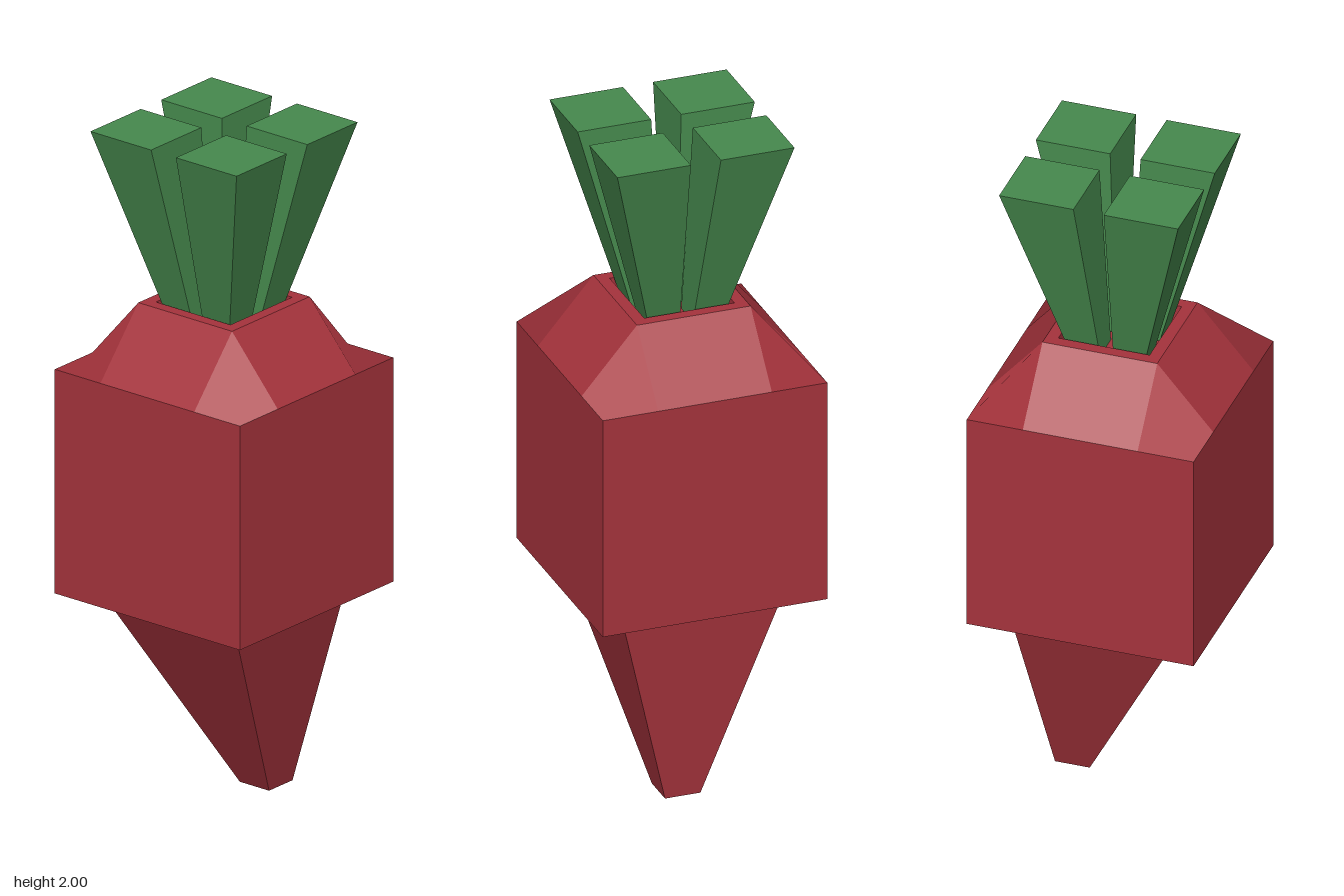
import * as THREE from 'three';

const red = new THREE.MeshStandardMaterial({ color: 0xa5333c });
red.name = 'rootRed';
const green = new THREE.MeshStandardMaterial({ color: 0x46894d });
green.name = 'leafGreen';

// Box whose bottom and top are separate rectangles: [x0, x1, z0, z1]
function taper(bottom, top, y0, y1) {
  const g = new THREE.BoxGeometry(1, 1, 1);
  const p = g.attributes.position;
  for (let i = 0; i < p.count; i++) {
    const up = p.getY(i) > 0;
    const r = up ? top : bottom;
    p.setXYZ(i, r[p.getX(i) > 0 ? 1 : 0], up ? y1 : y0, r[p.getZ(i) > 0 ? 3 : 2]);
  }
  const flat = g.toNonIndexed();
  flat.computeVertexNormals();
  return flat;
}

// Sloped shoulder, rim and sunken middle, folded from a square grid with one normal per cell
function shoulderGeometry() {
  const xs = [-0.336, -0.17, -0.135, -0.135, 0.135, 0.135, 0.17, 0.336];
  const ringHeights = [1.288, 1.48, 1.48, 1.43];
  const plane = new THREE.PlaneGeometry(7, 7, 7, 7).rotateX(-Math.PI / 2);
  const pos = plane.attributes.position;
  for (let i = 0; i < pos.count; i++) {
    const ix = i % 8, iz = Math.floor(i / 8);
    const ring = Math.min(ix, 7 - ix, iz, 7 - iz);
    pos.setXYZ(i, xs[ix], ringHeights[ring], xs[iz]);
  }
  const g = plane.toNonIndexed();
  const p = g.attributes.position, n = g.attributes.normal;
  const at = (i) => new THREE.Vector3().fromBufferAttribute(p, i);
  // cell triangles run a, b, d and b, c, d
  for (let i = 0; i < p.count; i += 6) {
    const ac = at(i + 4).sub(at(i));
    const bd = at(i + 2).sub(at(i + 1));
    const normal = ac.cross(bd).normalize();
    for (let k = 0; k < 6; k++) n.setXYZ(i + k, normal.x, normal.y, normal.z);
  }
  return g;
}

export function createModel() {
  const model = new THREE.Group();
  model.name = 'rootVegetable';
  const add = (name, geometry, material) => {
    const mesh = new THREE.Mesh(geometry, material);
    mesh.name = name;
    model.add(mesh);
  };

  // Cube body, left open on top where the shoulder closes it
  const body = new THREE.BoxGeometry(0.672, 0.674, 0.672).translate(0, 0.951, 0);
  const index = Array.from(body.index.array);
  index.splice(12, 6);
  body.clearGroups();
  body.setIndex(index);
  add('body', body, red);
  add('shoulder', shoulderGeometry(), red);

  // Crooked tapering tip
  add('rootTip', taper([0.085, 0.188, -0.013, 0.093], [-0.245, 0.243, -0.244, 0.244], 0, 0.614), red);

  // Four stems that widen and lean outwards
  const span = (s, inner, outer) => (s > 0 ? [inner, outer] : [-outer, -inner]);
  for (const sx of [-1, 1]) {
    for (const sz of [-1, 1]) {
      const rect = (inner, outer) => [...span(sx, inner, outer), ...span(sz, inner, outer)];
      const name = (sz > 0 ? 'front' : 'back') + (sx > 0 ? 'Left' : 'Right') + 'Stem';
      add(name, taper(rect(0.02, 0.111), rect(0.045, 0.265), 1.43, 2), green);
    }
  }
  return model;
}
